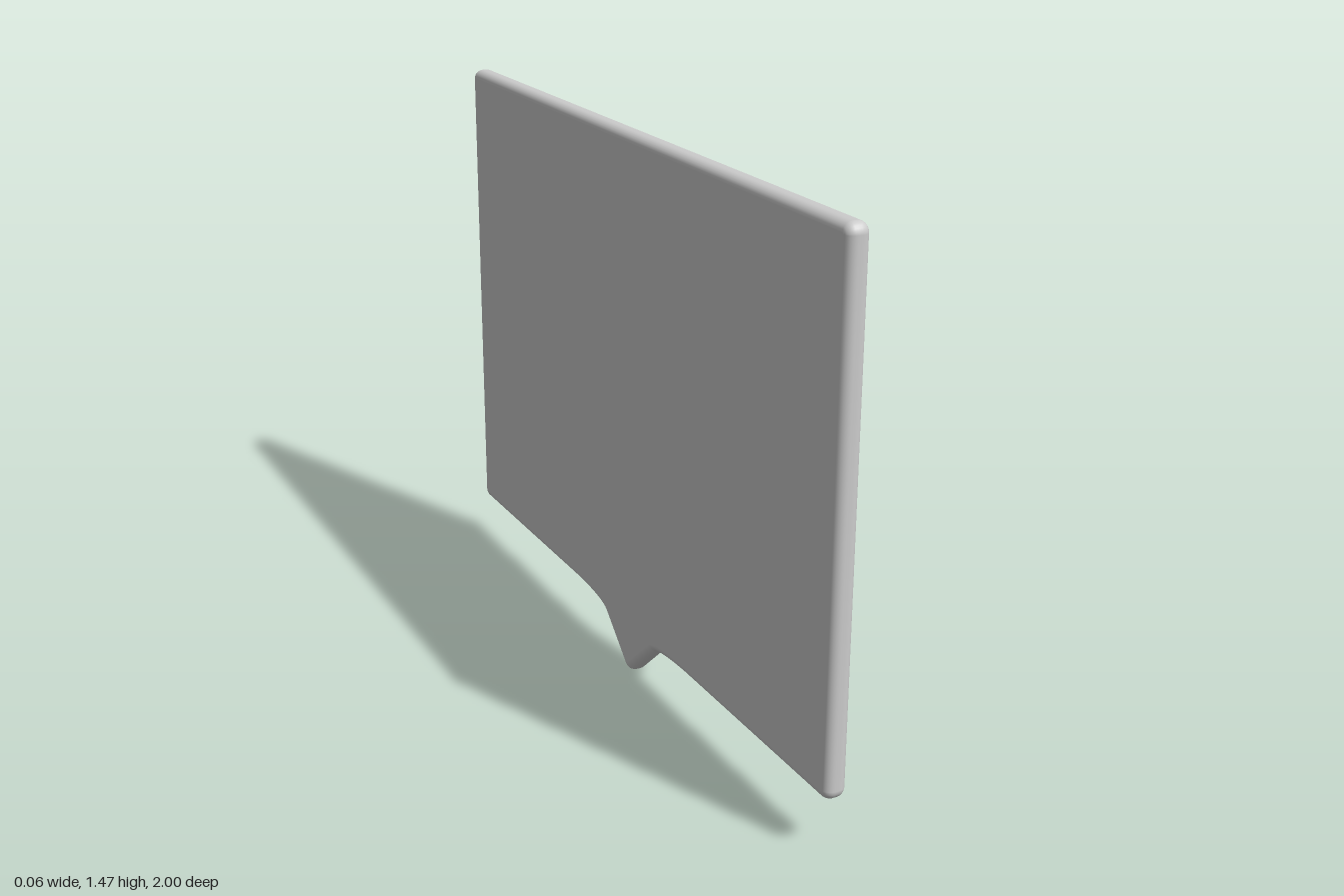
import * as THREE from 'three';
import { mergeVertices } from 'three/addons/utils/BufferGeometryUtils.js';

export function createModel() {
  const group = new THREE.Group();
  group.name = 'speechBubble';

  const bevel = 0.022, round = 0.024, halfThickness = 0.029;
  // Core outline, which the bevel grows by its own size
  const w = 1 - bevel, top = 1.477 - bevel, bottom = 0.148 + bevel, r = 0.005;
  const tip = 0.03, shoulder = { x: 0.125, y: 0.141 };

  const s = new THREE.Shape();
  // Pointer at the bottom, with soft shoulders
  s.moveTo(-0.004, tip + 0.0025);
  s.quadraticCurveTo(0, tip - 0.001, 0.004, tip + 0.0025);
  s.lineTo(shoulder.x, shoulder.y);
  s.quadraticCurveTo(0.157, bottom - 0.003, 0.32, bottom);
  // Panel with slightly rounded corners
  s.lineTo(w - r, bottom);
  s.quadraticCurveTo(w, bottom, w, bottom + r);
  s.lineTo(w, top - r);
  s.quadraticCurveTo(w, top, w - r, top);
  s.lineTo(-w + r, top);
  s.quadraticCurveTo(-w, top, -w, top - r);
  s.lineTo(-w, bottom + r);
  s.quadraticCurveTo(-w, bottom, -w + r, bottom);
  s.lineTo(-0.32, bottom);
  s.quadraticCurveTo(-0.157, bottom - 0.003, -shoulder.x, shoulder.y);
  s.closePath();

  const depth = 2 * (halfThickness - round);
  let geo = new THREE.ExtrudeGeometry(s, {
    depth, curveSegments: 8,
    bevelEnabled: true, bevelSize: bevel, bevelThickness: round, bevelSegments: 6,
  });
  geo.translate(0, 0, -depth / 2);
  geo.rotateY(Math.PI / 2);

  // Weld so the rim rolls smoothly into the flat faces
  geo.deleteAttribute('normal');
  geo.deleteAttribute('uv');
  geo = mergeVertices(geo, 1e-5);
  geo.computeVertexNormals();

  // Stand exactly on the ground
  geo.computeBoundingBox();
  geo.translate(0, -geo.boundingBox.min.y, 0);

  const panel = new THREE.Mesh(geo, new THREE.MeshStandardMaterial({ color: 0xcccccc }));
  panel.name = 'bubblePanel';
  group.add(panel);
  return group;
}
